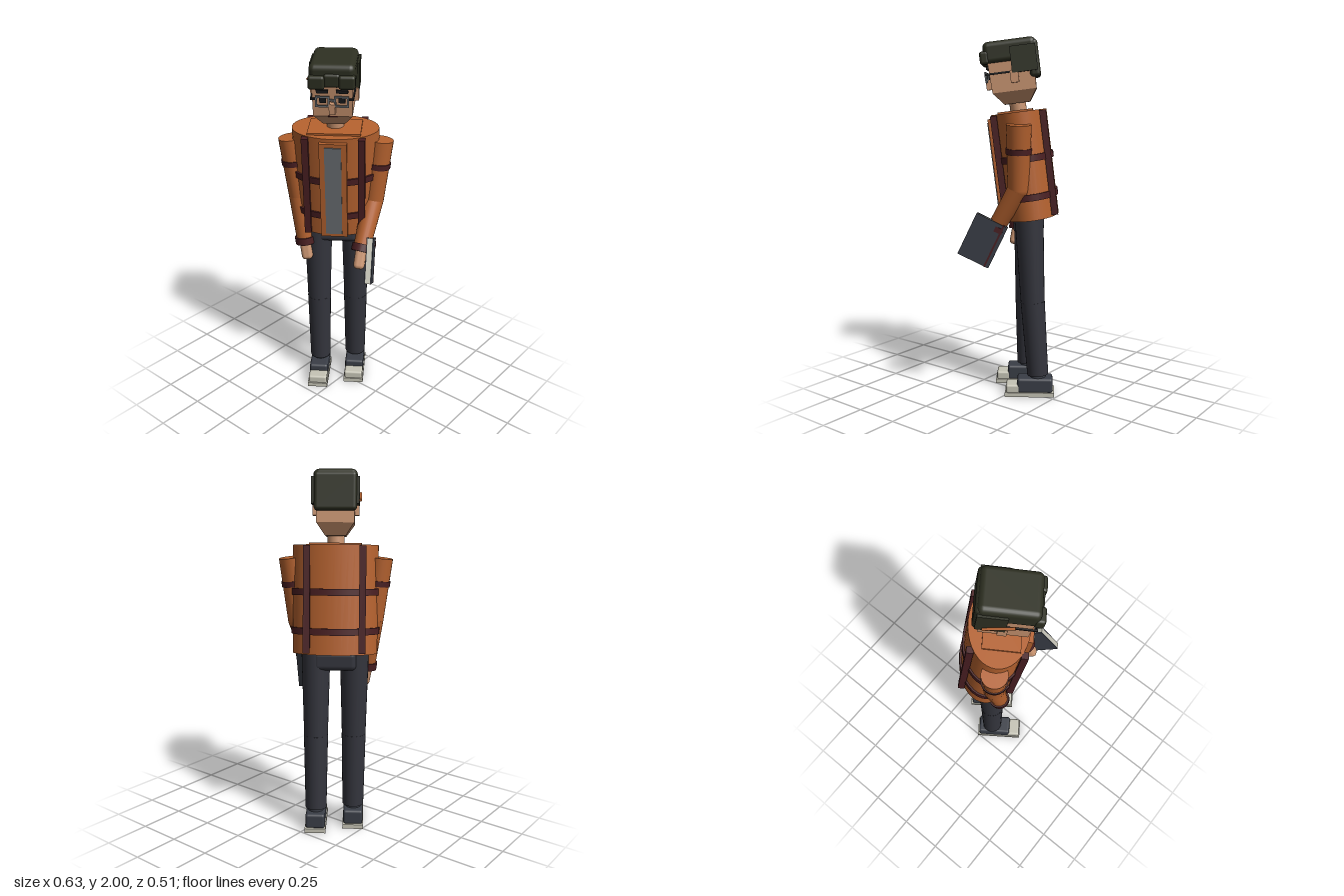
import * as THREE from 'three';
import { RoundedBoxGeometry } from 'three/addons/geometries/RoundedBoxGeometry.js';

const mat = (name, color) => {
  const m = new THREE.MeshStandardMaterial({ color });
  m.name = name;
  return m;
};
const V = (x, y, z) => new THREE.Vector3(x, y, z);

export function createModel() {
  const orange = mat('orange jacket', 0xb5622f);
  const maroon = mat('maroon trim', 0x4a1f22);
  const trouser = mat('charcoal trousers', 0x34353d);
  const dark = mat('slate shoes and cover', 0x3a3e47);
  const hair = mat('dark hair', 0x2e3022);
  const skin = mat('skin', 0xc99470);
  const grey = mat('zip grey', 0x6b6f73);
  const light = mat('off white', 0xc6c4b6);
  const black = mat('black', 0x17181b);

  const add = (parent, name, geo, m, x = 0, y = 0, z = 0) => {
    const mesh = new THREE.Mesh(geo, m);
    mesh.name = name;
    mesh.position.set(x, y, z);
    parent.add(mesh);
    return mesh;
  };
  const box = (p, name, m, w, h, d, x, y, z) =>
    add(p, name, new THREE.BoxGeometry(w, h, d), m, x, y, z);
  const soft = (p, name, m, w, h, d, x, y, z, r = 0.02) =>
    add(p, name, new RoundedBoxGeometry(w, h, d, 3, r), m, x, y, z);
  const group = (p, name) => {
    const g = new THREE.Group();
    g.name = name;
    p.add(g);
    return g;
  };
  // Tapered cylinder running from a to b
  const limb = (p, name, m, a, b, ra, rb) => {
    const d = b.clone().sub(a);
    const mesh = add(p, name, new THREE.CylinderGeometry(rb, ra, d.length(), 24), m);
    mesh.position.copy(a).addScaledVector(d, 0.5);
    mesh.quaternion.setFromUnitVectors(V(0, 1, 0), d.normalize());
    return mesh;
  };
  // Elliptical drum
  const drum = (p, name, m, rx, rz, h, y) =>
    add(p, name, new THREE.CylinderGeometry(1, 1, h, 40).scale(rx, 1, rz), m, 0, y, 0);

  const root = new THREE.Group();
  root.name = 'figure';
  const person = group(root, 'person');
  person.position.set(-0.036, 0, 0.025);
  person.rotation.y = THREE.MathUtils.degToRad(35);

  // Upper body leans forward from the hips
  const body = group(person, 'upperBody');
  body.position.set(0, 1.02, -0.08);
  body.rotation.x = 0.125;

  // Jacket
  drum(body, 'jacket', orange, 0.232, 0.155, 0.585, 0.2925);
  box(body, 'collar', orange, 0.28, 0.02, 0.19, 0, 0.585, 0.015);
  for (const y of [0.125, 0.335]) drum(body, 'jacketBand', maroon, 0.242, 0.165, 0.036, y);
  box(body, 'placket', orange, 0.145, 0.56, 0.05, 0, 0.285, 0.148);
  box(body, 'zipPanel', grey, 0.088, 0.52, 0.008, 0, 0.285, 0.175);
  for (const s of [-1, 1]) for (const f of [-1, 1])
    box(body, 'jacketStrap', maroon, 0.036, 0.57, 0.036, s * 0.148, 0.295, f * 0.133);

  // Head: stacked rectangular rings, narrow at the chin
  add(body, 'neck', new THREE.CylinderGeometry(0.046, 0.046, 0.12, 20), skin, 0, 0.62, 0);
  const head = group(body, 'head');
  const rings = [[0.633, 0.055, -0.07, 0.07], [0.7, 0.1, -0.115, 0.125], [0.93, 0.104, -0.12, 0.135]]
    .map(([y, w, b, f]) => [V(-w, y, f), V(w, y, f), V(w, y, b), V(-w, y, b)]);
  const tri = [];
  const quad = (a, b, c, d) => { for (const p of [a, b, c, a, c, d]) tri.push(p.x, p.y, p.z); };
  for (let i = 0; i < 2; i++) for (let j = 0; j < 4; j++) {
    const k = (j + 1) % 4;
    quad(rings[i][j], rings[i][k], rings[i + 1][k], rings[i + 1][j]);
  }
  quad(...[...rings[0]].reverse());
  quad(...rings[2]);
  const skull = new THREE.BufferGeometry();
  skull.setAttribute('position', new THREE.Float32BufferAttribute(tri, 3));
  skull.computeVertexNormals();
  add(head, 'face', skull, skin);
  box(head, 'nose', skin, 0.032, 0.055, 0.035, 0, 0.75, 0.142);
  box(head, 'mouth', maroon, 0.05, 0.006, 0.006, 0, 0.7, 0.124);

  // Hair: cap, back, side panels and a lumpy fringe
  soft(head, 'hairTop', hair, 0.232, 0.12, 0.29, 0, 0.915, 0.005, 0.03);
  soft(head, 'hairBack', hair, 0.226, 0.2, 0.06, 0, 0.86, -0.118);
  [[-0.076, 0.16, 0.872], [0, 0.148, 0.88], [0.076, 0.158, 0.874]].forEach(([x, z, y]) =>
    soft(head, 'fringe', hair, 0.084, 0.07, 0.05, x, y + 0.018, z - 0.012, 0.015));

  for (const s of [-1, 1]) {
    box(head, 'sideHair', hair, 0.03, 0.14, 0.14, s * 0.112, 0.865, -0.065);
    box(head, 'ear', skin, 0.03, 0.065, 0.045, s * 0.11, 0.775, -0.005);
    box(head, 'eyebrow', black, 0.06, 0.016, 0.012, s * 0.05, 0.838, 0.138);
    box(head, 'eye', black, 0.034, 0.026, 0.006, s * 0.048, 0.79, 0.134);
    // Glasses: square rim and side arm
    const rim = group(head, 'glassesRim');
    rim.position.set(s * 0.048, 0.79, 0.152);
    for (const t of [-1, 1]) {
      box(rim, 'rimBar', grey, 0.072, 0.009, 0.01, 0, t * 0.024, 0);
      box(rim, 'rimSide', grey, 0.009, 0.05, 0.01, t * 0.0315, 0, 0);
    }
    box(head, 'glassesArm', black, 0.008, 0.01, 0.15, s * 0.106, 0.803, 0.075);
    box(head, 'glassesHinge', black, 0.026, 0.01, 0.008, s * 0.096, 0.803, 0.15);
  }
  box(head, 'glassesBridge', grey, 0.032, 0.009, 0.01, 0, 0.797, 0.152);
  limb(head, 'pencil', orange, V(-0.132, 0.815, -0.1), V(-0.132, 0.865, 0.045), 0.007, 0.007);

  // Arms: shoulder, elbow, wrist, fingertips
  const arms = {
    right: [V(-0.242, 1.535, -0.016), V(-0.206, 1.2, -0.025), V(-0.176, 0.93, 0.0), V(-0.16, 0.83, 0.018)],
    left: [V(0.242, 1.535, -0.016), V(0.206, 1.19, -0.012), V(0.152, 0.95, 0.125), V(0.14, 0.855, 0.165)],
  };
  for (const [side, [shoulder, elbow, wrist, tip]] of Object.entries(arms)) {
    const arm = group(person, side + 'Arm');
    limb(arm, 'upperArm', orange, shoulder, elbow, 0.068, 0.058);
    add(arm, 'elbow', new THREE.SphereGeometry(0.058, 24, 16), orange).position.copy(elbow);
    limb(arm, 'forearm', orange, elbow, wrist, 0.058, 0.046);
    const at = (a, b, t) => a.clone().lerp(b, t);
    limb(arm, 'armBand', maroon, at(shoulder, elbow, 0.36), at(shoulder, elbow, 0.45), 0.07, 0.069);
    limb(arm, 'cuff', maroon, at(elbow, wrist, 0.91), at(elbow, wrist, 1.06), 0.056, 0.055);
    const hand = soft(arm, 'hand', skin, 0.062, 0.12, 0.07, 0, 0, 0, 0.022);
    hand.position.copy(at(wrist, tip, 0.5));
    hand.quaternion.setFromUnitVectors(V(0, -1, 0), tip.clone().sub(wrist).normalize());
  }

  // Trousers and shoes
  soft(person, 'hips', trouser, 0.24, 0.11, 0.17, 0, 0.985, -0.065, 0.03);
  for (const [side, x, hipZ, ankleZ] of [['right', -0.106, -0.056, -0.057], ['left', 0.106, -0.068, -0.12]]) {
    const leg = group(person, side + 'Leg');
    const kneeZ = (hipZ + ankleZ) / 2 + 0.004;
    limb(leg, 'thigh', trouser, V(x, 1.03, hipZ), V(x, 0.54, kneeZ), 0.08, 0.067);
    limb(leg, 'shin', trouser, V(x, 0.545, kneeZ), V(x * 0.99, 0.12, ankleZ), 0.068, 0.06);
    limb(leg, 'ankle', dark, V(x, 0.125, ankleZ), V(x, 0.08, ankleZ), 0.045, 0.045);
    const shoe = group(leg, 'shoe');
    shoe.position.set(x, 0, ankleZ + 0.046);
    box(shoe, 'sole', light, 0.118, 0.025, 0.28, 0, 0.0125, 0);
    soft(shoe, 'upper', dark, 0.11, 0.085, 0.2, 0, 0.063, -0.03, 0.015);
    soft(shoe, 'toeCap', light, 0.108, 0.05, 0.08, 0, 0.043, 0.094, 0.012);
  }

  // Book tucked against the left hand
  const book = group(root, 'book');
  const u = V(0.49, 0.435, 0.76).normalize();
  const n = u.clone().cross(V(0.243, -0.89, 0.385)).normalize();
  const v = n.clone().cross(u);
  book.quaternion.setFromRotationMatrix(new THREE.Matrix4().makeBasis(u, v, n));
  book.position.set(0.235, 0.91, 0.058);
  box(book, 'pages', light, 0.18, 0.242, 0.026, 0.002, 0, 0);
  for (const s of [-1, 1]) box(book, 'cover', dark, 0.184, 0.248, 0.006, 0, 0, s * 0.015);
  box(book, 'spine', dark, 0.006, 0.248, 0.03, -0.091, 0, 0);
  box(book, 'bookStrap', maroon, 0.01, 0.25, 0.039, -0.07, 0, 0);
  box(book, 'bookTab', maroon, 0.045, 0.03, 0.006, -0.055, -0.09, 0.0185);

  return root;
}
